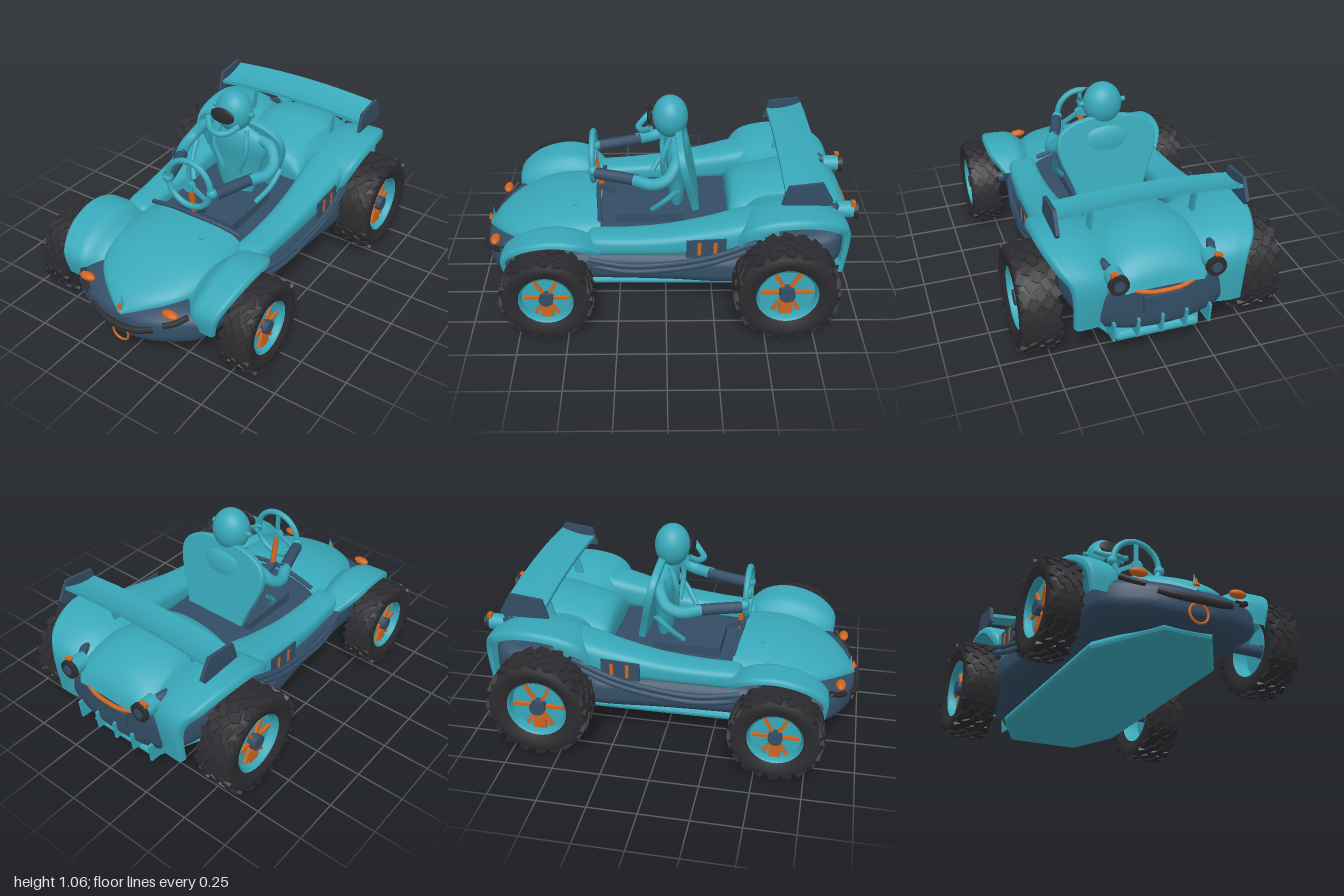
import * as THREE from 'three';
import { mergeVertices } from 'three/addons/utils/BufferGeometryUtils.js';

const mat = (name, color) => new THREE.MeshStandardMaterial({ name, color, side: THREE.DoubleSide });
const teal = mat('teal', 0x38a8b9), navy = mat('navy', 0x334d65), black = mat('black', 0x2c2c30), orange = mat('orange', 0xd0641f);
const V = (p) => new THREE.Vector3(...p);

export function createModel() {
  const model = new THREE.Group();
  model.name = 'buggy';

  const add = (name, geo, material, pos = [0, 0, 0], parent = model) => {
    const m = new THREE.Mesh(geo, material);
    m.name = name;
    m.position.set(...pos);
    parent.add(m);
    return m;
  };
  const both = (fn) => [['left', 1], ['right', -1]].forEach(([n, s]) => fn(n, s));

  // Smooth lookup through a short list of rows
  const along = (rows, u) => {
    const f = u * (rows.length - 1), i = Math.min(Math.floor(f), rows.length - 2), t = f - i;
    const row = (k) => rows[Math.max(0, Math.min(rows.length - 1, k))];
    return rows[i].map((_, c) => {
      const [a, b, d, e] = [row(i - 1)[c], row(i)[c], row(i + 1)[c], row(i + 2)[c]];
      const m0 = (d - a) / 2, m1 = (e - b) / 2;
      return b + m0 * t + (3 * (d - b) - 2 * m0 - m1) * t * t + (2 * (b - d) + m0 + m1) * t * t * t;
    });
  };
  // Surface from a rule of two parameters
  const grid = (nu, nv, fn) => {
    const pos = [], index = [];
    for (let i = 0; i <= nu; i++) for (let j = 0; j <= nv; j++) pos.push(...fn(i / nu, j / nv));
    for (let i = 0; i < nu; i++) for (let j = 0; j < nv; j++) {
      const a = i * (nv + 1) + j, b = a + nv + 1;
      index.push(a, b, a + 1, b, b + 1, a + 1);
    }
    let g = new THREE.BufferGeometry();
    g.setAttribute('position', new THREE.Float32BufferAttribute(pos, 3));
    g.setIndex(index);
    g = mergeVertices(g, 1e-5);
    g.computeVertexNormals();
    return g;
  };
  // Closed hull, rows are [z, centre x, half width, bottom y, top y]; exponents square off the top and bottom
  const pw = (v, e) => Math.sign(v) * Math.abs(v) ** e;
  const hull = (rows, eTop, eBottom) => grid(rows.length * 5, 40, (u, v) => {
    const [z, cx, w, yb, yt] = along(rows, u), a = v * Math.PI * 2, e = v < 0.5 ? eTop : eBottom;
    return [cx + w * pw(Math.cos(a), e), (yb + yt) / 2 + (yt - yb) / 2 * pw(Math.sin(a), e), z];
  });
  // Arched shell, rows are [z, half width, edge y, crown y]
  const shell = (rows) => grid(rows.length * 5, 28, (u, v) => {
    const [z, w, ye, yc] = along(rows, u), a = (v - 0.5) * Math.PI;
    return [w * Math.sin(a), ye + (yc - ye) * Math.cos(a) ** 0.8, z];
  });
  const tube = (pts, r, seg = 24) => new THREE.TubeGeometry(new THREE.CatmullRomCurve3(pts.map(V)), seg, r, 10);
  // Plate drawn in the z-y plane with its thickness along x
  const plate = (pts, d) => new THREE.ExtrudeGeometry(new THREE.Shape(pts.map((p) => new THREE.Vector2(...p))), { depth: d, bevelEnabled: false })
    .translate(0, 0, -d / 2).rotateY(-Math.PI / 2);

  // Lower body
  add('tub', hull([
    [0.965, 0, 0.005, 0.22, 0.23], [0.96, 0, 0.12, 0.17, 0.28], [0.91, 0, 0.26, 0.14, 0.32], [0.8, 0, 0.4, 0.125, 0.36],
    [0.6, 0, 0.42, 0.13, 0.38], [0.35, 0, 0.44, 0.14, 0.40], [0, 0, 0.46, 0.14, 0.41], [-0.33, 0, 0.49, 0.14, 0.42],
    [-0.45, 0, 0.44, 0.15, 0.43], [-0.8, 0, 0.4, 0.17, 0.47], [-0.92, 0, 0.3, 0.2, 0.47], [-0.93, 0, 0.005, 0.34, 0.35],
  ], 0.5, 0.95), navy);
  const panOutline = [[-0.1, 0.83], [0.1, 0.83], [0.29, 0.53], [0.3, -0.6], [0.18, -0.85], [-0.18, -0.85], [-0.3, -0.6], [-0.29, 0.53]];
  add('floorPan', new THREE.ExtrudeGeometry(new THREE.Shape(panOutline.map(([x, z]) => new THREE.Vector2(x, -z))),
    { depth: 0.008, bevelSize: 0.04, bevelThickness: 0.024, bevelSegments: 3 }).rotateX(-Math.PI / 2), teal, [0, 0.128, 0]);

  // Hood and rear deck
  add('hood', shell([[0.34, 0.3, 0.39, 0.5], [0.5, 0.325, 0.38, 0.5], [0.65, 0.31, 0.37, 0.475], [0.8, 0.235, 0.355, 0.42],
    [0.9, 0.12, 0.325, 0.365], [0.965, 0.005, 0.285, 0.295]]), teal);
  add('cowlRim', tube([[-0.27, 0.48, 0.34], [-0.14, 0.505, 0.35], [0, 0.515, 0.36], [0.14, 0.505, 0.35], [0.27, 0.48, 0.34]], 0.012), navy);
  add('rearDeck', shell([[-0.33, 0.23, 0.4, 0.42], [-0.35, 0.24, 0.42, 0.56], [-0.55, 0.26, 0.45, 0.62], [-0.7, 0.27, 0.47, 0.64],
    [-0.85, 0.25, 0.47, 0.6], [-0.93, 0.22, 0.46, 0.53], [-0.96, 0.19, 0.44, 0.45]]), teal);

  // Fenders swept over the wheels, profile points are [z, y, outer x]; inner is the scale of the tucked-in edge
  const fender = (s, profile, hub, xIn, inner) => grid(36, 24, (u, v) => {
    const [z, y, xOut] = along(profile, u), [k] = along([[inner], [0.96], [1], [1.005], [0.995], [0.9]], v);
    return [s * (xIn + (xOut - xIn) * Math.sin(v * Math.PI / 2) ** 0.9), hub[1] + (y - hub[1]) * k, hub[0] + (z - hub[0]) * k];
  });
  both((n, s) => {
    add(n + 'FrontFender', fender(s, [[0.83, 0.26, 0.45], [0.835, 0.38, 0.475], [0.73, 0.47, 0.51], [0.57, 0.51, 0.525],
      [0.43, 0.485, 0.515], [0.33, 0.41, 0.46]], [0.6, 0.24], 0.26, 0.72), teal);
    add(n + 'RearFender', fender(s, [[-0.915, 0.25, 0.42], [-0.93, 0.48, 0.43], [-0.86, 0.58, 0.49], [-0.7, 0.635, 0.53],
      [-0.5, 0.62, 0.535], [-0.39, 0.56, 0.52], [-0.33, 0.43, 0.47]], [-0.6, 0.27], 0.18, 0.86), teal);
    // Padded cockpit side with a panel and side pipes
    add(n + 'CockpitSide', hull([[0.4, s * 0.35, 0.01, 0.4, 0.41], [0.38, s * 0.35, 0.07, 0.36, 0.46], [0.2, s * 0.36, 0.08, 0.365, 0.47],
      [0, s * 0.365, 0.088, 0.37, 0.49], [-0.2, s * 0.365, 0.1, 0.38, 0.53], [-0.4, s * 0.36, 0.115, 0.4, 0.58], [-0.57, s * 0.33, 0.08, 0.42, 0.61]], 0.65, 0.65), teal);
    add(n + 'SidePanel', plate([[-0.1, 0.395], [-0.1, 0.495], [-0.3, 0.505], [-0.3, 0.395]], 0.009), navy, [s * 0.477, 0, 0]);
    for (const z of [-0.165, -0.245]) add(n + 'PanelStripe', new THREE.BoxGeometry(0.006, 0.075, 0.018), orange, [s * 0.481, 0.447, z]);
    for (const dy of [0, -0.035]) add(n + 'SidePipe', tube([[s * 0.42, 0.34 + dy, 0.4], [s * 0.455, 0.325 + dy, 0.2],
      [s * 0.47, 0.345 + dy, 0], [s * 0.488, 0.4 + dy, -0.22], [s * 0.48, 0.485 + dy, -0.45]], 0.014), navy);
  });

  // Wheels: built facing +x, turned round for the other side
  const makeWheel = (name, s, z, radius, width, x) => {
    const w = new THREE.Group();
    w.name = name;
    w.position.set(s * x, radius, z);
    w.rotation.y = s > 0 ? 0 : Math.PI;
    model.add(w);
    const R = radius, h = width / 2, rim = R * 0.57;
    const profile = [[rim, -h * 0.75], [R * 0.75, -h], [R * 0.9, -h * 0.97], [R * 0.96, -h * 0.75], [R * 0.97, 0],
      [R * 0.96, h * 0.75], [R * 0.9, h * 0.97], [R * 0.75, h], [rim, h * 0.75]].map((p) => new THREE.Vector2(...p));
    const lathe = (pts) => new THREE.LatheGeometry(pts, 48).rotateZ(-Math.PI / 2);
    const drum = (r, len) => new THREE.CylinderGeometry(r, r, len, 28).rotateZ(-Math.PI / 2);
    add('tyre', lathe(profile), black, [0, 0, 0], w);
    // Staggered tread blocks
    const count = 20;
    for (let row = -2; row <= 2; row++) for (let i = 0; i < count; i++) {
      const a = (i + (row & 1 ? 0.5 : 0)) / count * Math.PI * 2, edge = Math.abs(row) === 2;
      const g = new THREE.BoxGeometry(width * 0.18, R * 0.07, R * 0.19).rotateY((i % 2 ? 1 : -1) * 0.45)
        .translate(row * width * 0.188, R * (edge ? 0.945 : 0.965), 0).rotateX(a);
      add('treadBlock', g, black, [0, 0, 0], w);
    }
    add('rimBarrel', lathe([[rim, -h * 0.8], [rim * 0.92, 0], [rim * 0.94, h * 0.7], [rim * 1.02, h * 0.82]].map((p) => new THREE.Vector2(...p))), teal, [0, 0, 0], w);
    add('rimDisc', drum(rim * 0.93, h * 0.2), teal, [h * 0.25, 0, 0], w);
    for (let i = 0; i < 6; i++) add('spoke', new THREE.BoxGeometry(h * 0.2, rim * 0.68, rim * 0.11)
      .translate(h * 0.42, rim * 0.5, 0).rotateX(i * Math.PI / 3 + Math.PI / 6), orange, [0, 0, 0], w);
    add('caliper', new THREE.BoxGeometry(h * 0.25, rim * 0.5, rim * 0.42), orange, [h * 0.4, -rim * 0.62, 0], w);
    add('hub', drum(rim * 0.26, h * 0.7), navy, [h * 0.45, 0, 0], w);
    add('axle', drum(0.03, 0.25), navy, [-0.12, 0, 0], w);
  };
  both((n, s) => {
    makeWheel(n + 'FrontWheel', s, 0.6, 0.238, 0.16, 0.56);
    makeWheel(n + 'RearWheel', s, -0.6, 0.268, 0.2, 0.555);
  });

  // Nose details
  add('frontBumper', tube([[-0.185, 0.26, 0.935], [-0.1, 0.238, 0.97], [0, 0.232, 0.982], [0.1, 0.238, 0.97], [0.185, 0.26, 0.935]], 0.018), black);
  add('towRing', new THREE.TorusGeometry(0.047, 0.006, 8, 32), orange, [0, 0.175, 0.965]);
  add('noseFin', new THREE.ConeGeometry(0.012, 0.08, 8), teal, [0, 0.35, 0.94]);
  add('noseFinBase', new THREE.ConeGeometry(0.018, 0.04, 4), orange, [0, 0.335, 0.957]);
  both((n, s) => {
    add(n + 'Indicator', new THREE.SphereGeometry(1, 20, 12).scale(0.045, 0.02, 0.025), orange, [s * 0.255, 0.355, 0.895]);
    add(n + 'CornerBar', tube([[s * 0.23, 0.29, 0.92], [s * 0.28, 0.31, 0.89], [s * 0.325, 0.34, 0.85]], 0.015), black);
    add(n + 'HoodPin', new THREE.SphereGeometry(0.01, 10, 8), teal, [s * 0.14, 0.495, 0.48]);
  });

  // Tail: lamps, trim, plate and diffuser
  both((n, s) => {
    const barrel = (r, len) => new THREE.CylinderGeometry(r, r, len, 24).rotateX(Math.PI / 2);
    add(n + 'TailLampBody', barrel(0.044, 0.09), teal, [s * 0.235, 0.52, -0.93]);
    add(n + 'TailLampRing', barrel(0.049, 0.024), black, [s * 0.235, 0.52, -0.98]);
    add(n + 'TailLampLens', barrel(0.026, 0.008), navy, [s * 0.235, 0.52, -0.993]);
    add(n + 'TailLampMarker', new THREE.BoxGeometry(0.035, 0.025, 0.022), orange, [s * 0.25, 0.564, -0.965]);
    add(n + 'TailLampArm', tube([[s * 0.26, 0.53, -0.76], [s * 0.265, 0.55, -0.84], [s * 0.235, 0.53, -0.91]], 0.022), navy);
  });
  add('tailTrim', tube([[-0.19, 0.46, -0.935], [-0.09, 0.435, -0.962], [0, 0.43, -0.967], [0.09, 0.435, -0.962], [0.19, 0.46, -0.935]], 0.011), orange);
  add('tailPlate', new THREE.BoxGeometry(0.2, 0.085, 0.02), navy, [0, 0.35, -0.945]);
  add('diffuser', plate([[-0.79, 0.15], [-0.925, 0.27], [-0.85, 0.3]], 0.54), black);
  for (let i = -2; i <= 2; i++) add('diffuserFin', plate([[-0.8, 0.155], [-0.94, 0.165], [-0.95, 0.27], [-0.91, 0.275]], 0.012), teal, [i * 0.12, 0, 0]);

  // Gently bowed rear wing
  const wing = new THREE.BoxGeometry(0.92, 0.02, 0.19, 24, 1, 6), wp = wing.attributes.position;
  for (let i = 0; i < wp.count; i++) {
    const x = wp.getX(i), z = wp.getZ(i);
    wp.setY(i, wp.getY(i) + 0.025 * (1 - (x / 0.46) ** 2) - z * 0.2 + z * z * 1.5);
  }
  wing.computeVertexNormals();
  add('wing', wing, teal, [0, 0.75, -0.675]);
  both((n, s) => {
    add(n + 'WingEndPlate', plate([[-0.56, 0.7], [-0.59, 0.8], [-0.755, 0.82], [-0.81, 0.72], [-0.79, 0.695]], 0.018), navy, [s * 0.46, 0, 0]);
    add(n + 'WingStrut', plate([[-0.59, 0.58], [-0.63, 0.74], [-0.67, 0.75], [-0.64, 0.58]], 0.014), teal, [s * 0.26, 0, 0]);
  });

  // Seat
  const seat = new THREE.Shape();
  seat.moveTo(-0.17, 0);
  seat.lineTo(0.17, 0);
  seat.bezierCurveTo(0.2, 0.12, 0.26, 0.2, 0.255, 0.29);
  seat.bezierCurveTo(0.25, 0.38, 0.13, 0.41, 0, 0.41);
  seat.bezierCurveTo(-0.13, 0.41, -0.25, 0.38, -0.255, 0.29);
  seat.bezierCurveTo(-0.26, 0.2, -0.2, 0.12, -0.17, 0);
  const seatGeo = new THREE.ExtrudeGeometry(seat, { depth: 0.02, bevelSize: 0.01, bevelThickness: 0.01, bevelSegments: 3, curveSegments: 16 });
  add('seatBack', seatGeo, teal, [0, 0.49, -0.165]).rotation.x = 0.22;
  add('seatCushion', new THREE.BoxGeometry(0.36, 0.07, 0.36), navy, [0, 0.42, 0.08]);

  // Driver
  const torso = [[0.1, 0.46], [0.13, 0.55], [0.15, 0.64], [0.185, 0.75], [0.15, 0.82], [0.07, 0.86], [0.06, 0.9]].map((p) => new THREE.Vector2(...p));
  add('torso', new THREE.LatheGeometry(new THREE.SplineCurve(torso).getPoints(24), 28).scale(1, 1, 0.36), teal, [0, 0, -0.06]);
  add('helmet', new THREE.SphereGeometry(1, 32, 20).scale(0.1, 0.112, 0.092), teal, [0, 0.945, -0.025]);
  add('visor', new THREE.SphereGeometry(1, 24, 12).scale(0.072, 0.042, 0.012), black, [0, 0.96, 0.083]).rotation.x = -0.08;
  add('chinGuard', tube([[-0.095, 0.925, 0.075], [-0.05, 0.89, 0.12], [0, 0.885, 0.14], [0.05, 0.89, 0.12], [0.095, 0.925, 0.075]], 0.016), teal);
  both((n, s) => {
    add(n + 'HelmetKnob', new THREE.CylinderGeometry(0.013, 0.013, 0.035, 12).rotateZ(Math.PI / 2), teal, [s * 0.105, 0.95, -0.02]);
    add(n + 'UpperArm', tube([[s * 0.15, 0.8, -0.06], [s * 0.21, 0.78, -0.05], [s * 0.255, 0.72, -0.01], [s * 0.26, 0.69, 0.06], [s * 0.215, 0.69, 0.16]], 0.031), teal);
    add(n + 'Sleeve', tube([[s * 0.22, 0.69, 0.14], [s * 0.18, 0.69, 0.25], [s * 0.145, 0.69, 0.36]], 0.03), navy);
    add(n + 'Hand', new THREE.SphereGeometry(0.028, 14, 10), teal, [s * 0.135, 0.7, 0.375]);
    add(n + 'Harness', tube([[s * 0.08, 0.85, -0.02], [s * 0.1, 0.75, 0.015], [s * 0.05, 0.6, 0.005]], 0.014), teal);
    add(n + 'SeatBar', tube([[s * 0.27, 0.66, -0.06], [s * 0.25, 0.58, 0.01], [s * 0.2, 0.5, 0.07]], 0.014), teal);
  });

  // Steering
  add('steeringWheel', new THREE.TorusGeometry(0.13, 0.016, 12, 40), teal, [0, 0.71, 0.38]);
  for (const a of [0, 2.1, -2.1]) add('wheelSpoke', new THREE.BoxGeometry(0.022, 0.13, 0.012).translate(0, 0.065, 0).rotateZ(a), teal, [0, 0.71, 0.38]);
  add('wheelHub', new THREE.CylinderGeometry(0.03, 0.03, 0.03, 18).rotateX(Math.PI / 2), teal, [0, 0.7, 0.38]);
  add('steeringColumn', tube([[0, 0.69, 0.37], [0, 0.6, 0.355], [0, 0.5, 0.335]], 0.015), orange);
  add('columnMount', new THREE.BoxGeometry(0.05, 0.03, 0.09), navy, [0, 0.515, 0.31]).rotation.x = -0.4;
  return model;
}
